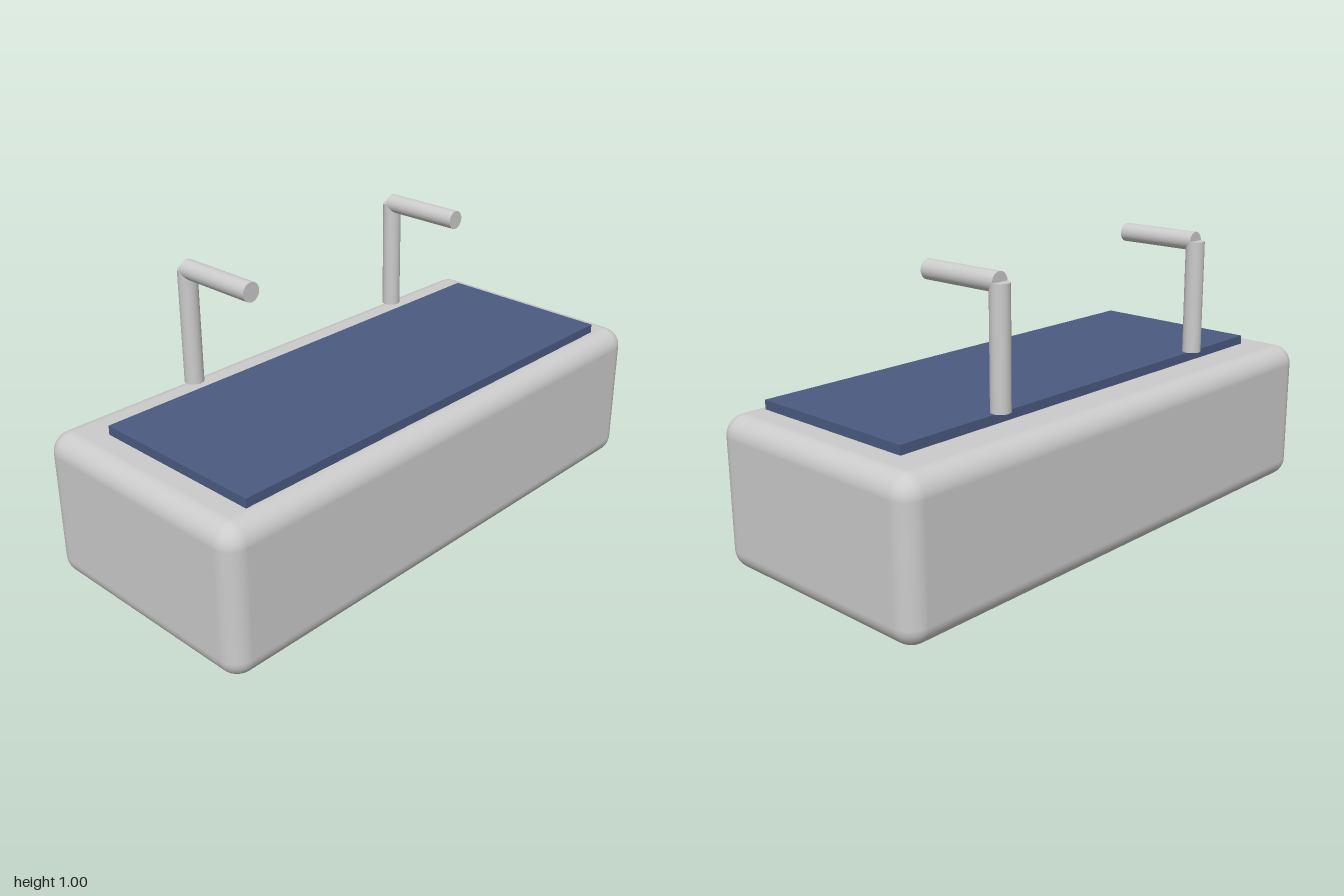
import * as THREE from 'three';
import { RoundedBoxGeometry } from 'three/addons/geometries/RoundedBoxGeometry.js';

export function createModel() {
  const model = new THREE.Group();
  model.name = 'doubleTapBasin';
  const grey = new THREE.MeshStandardMaterial({ color: 0xcccccc });
  const blue = new THREE.MeshStandardMaterial({ color: 0x4a5a80 });

  function add(parent, name, geometry, material, x, y, z) {
    const mesh = new THREE.Mesh(geometry, material);
    mesh.name = name;
    mesh.position.set(x, y, z);
    parent.add(mesh);
    return mesh;
  }

  // Rounded basin block
  add(model, 'basin', new RoundedBoxGeometry(2, 0.523, 0.89, 6, 0.07), grey, 0, 0.2615, 0);

  // Thin dark panel on top, set slightly forward
  add(model, 'basinPanel', new THREE.BoxGeometry(1.734, 0.032, 0.645), blue, 0, 0.539, 0.0475);

  // Mirrored pair of taps: an upright post and a spout reaching forward
  const radius = 0.033, postZ = -0.307, postBottom = 0.572, jointY = 0.97;
  const postHeight = jointY - postBottom;
  for (const side of [-1, 1]) {
    const tap = new THREE.Group();
    tap.name = side > 0 ? 'leftTap' : 'rightTap';
    tap.position.x = side * 0.492;
    model.add(tap);
    add(tap, 'post', new THREE.CylinderGeometry(radius, radius, postHeight, 32),
      grey, 0, postBottom + postHeight / 2, postZ);
    const spout = add(tap, 'spout', new THREE.CylinderGeometry(radius, radius, -postZ, 32),
      grey, 0, jointY, postZ / 2);
    spout.rotation.x = Math.PI / 2;
  }

  return model;
}
